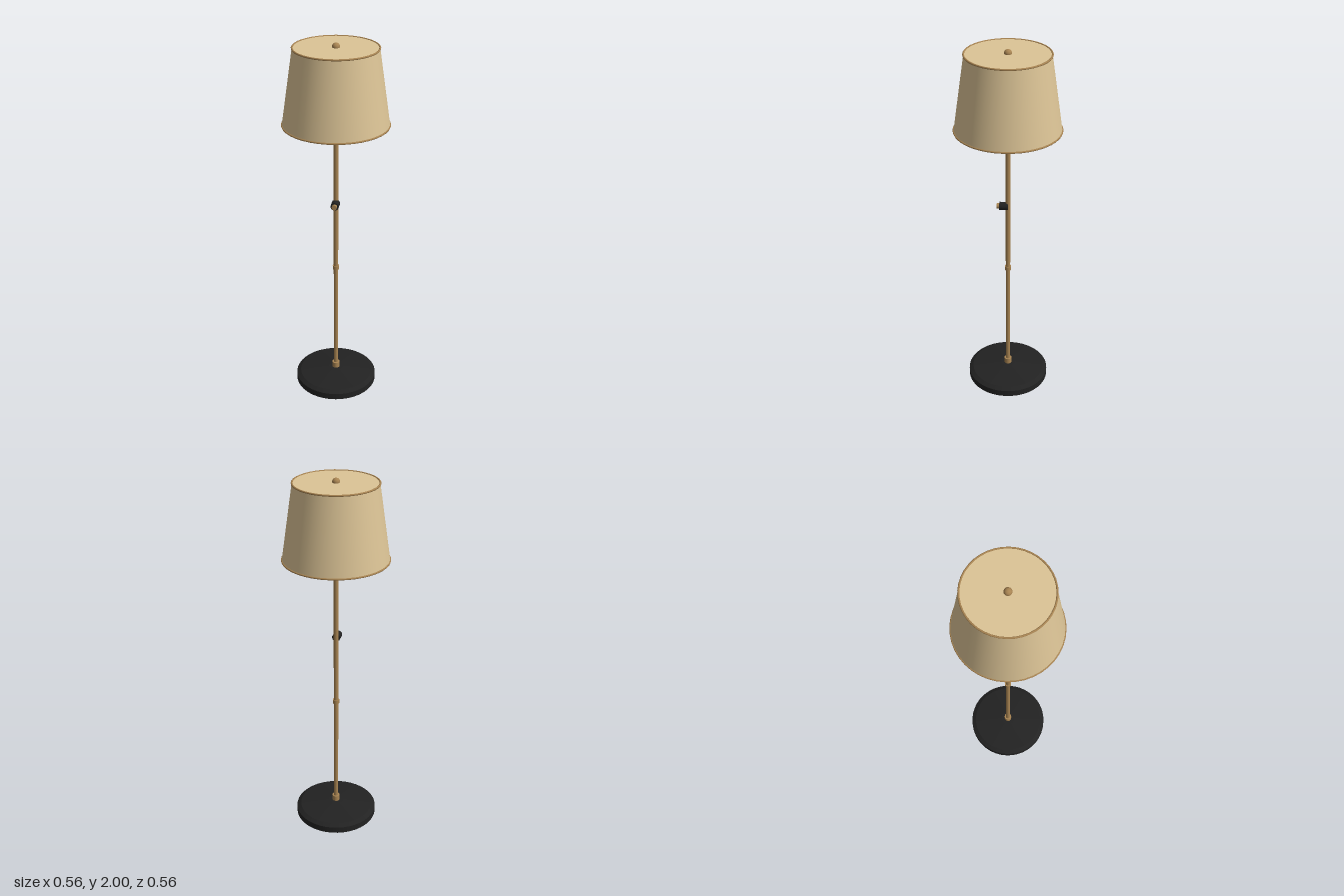
import * as THREE from 'three';

export function createModel() {
  const lamp = new THREE.Group();
  lamp.name = 'floorLamp';

  const material = (name, color) => {
    const m = new THREE.MeshStandardMaterial({ color });
    m.name = name;
    return m;
  };
  const linen = material('linen', 0xdcc496);
  const brass = material('brass', 0xa88452);
  const black = material('black', 0x222222);

  const add = (name, geometry, mat, y = 0, z = 0) => {
    const mesh = new THREE.Mesh(geometry, mat);
    mesh.name = name;
    mesh.position.set(0, y, z);
    lamp.add(mesh);
    return mesh;
  };
  // Upright cylinder between two heights
  const post = (name, r, y0, y1, mat, rTop = r, sides = 24) =>
    add(name, new THREE.CylinderGeometry(rTop, r, y1 - y0, sides), mat, (y0 + y1) / 2);
  // Cylinder lying along z
  const dial = (name, r, z0, z1, mat) => {
    const mesh = add(name, new THREE.CylinderGeometry(r, r, z1 - z0, 20), mat, 1.127, (z0 + z1) / 2);
    mesh.rotation.x = Math.PI / 2;
  };

  // Weighted base: straight rim, small bevel and a shallow cone
  post('baseRim', 0.228, 0, 0.036, black, 0.228, 40);
  post('baseBevel', 0.228, 0.036, 0.05, black, 0.205, 40);
  post('baseTop', 0.205, 0.05, 0.07, black, 0.04, 40);

  // Pole and fittings
  post('pole', 0.0125, 0.06, 1.58, brass);
  post('lowerCollar', 0.021, 0.068, 0.102, brass);
  post('poleJoint', 0.018, 0.725, 0.747, brass);
  post('socket', 0.023, 1.54, 1.58, brass);

  // Rotary switch on the front
  dial('switchBody', 0.022, 0, 0.046, black);
  dial('switchKnob', 0.014, 0.046, 0.06, brass);

  // Closed tapered shade with trimmed edges
  post('shade', 0.277, 1.577, 1.977, linen, 0.218, 40);
  for (const [name, r, y] of [['bottomTrim', 0.277, 1.577], ['topTrim', 0.218, 1.976]]) {
    add(name, new THREE.TorusGeometry(r, 0.005, 8, 40), brass, y).rotation.x = Math.PI / 2;
  }

  // Finial
  add('finial', new THREE.SphereGeometry(0.02, 20, 14), brass, 1.98);

  return lamp;
}
